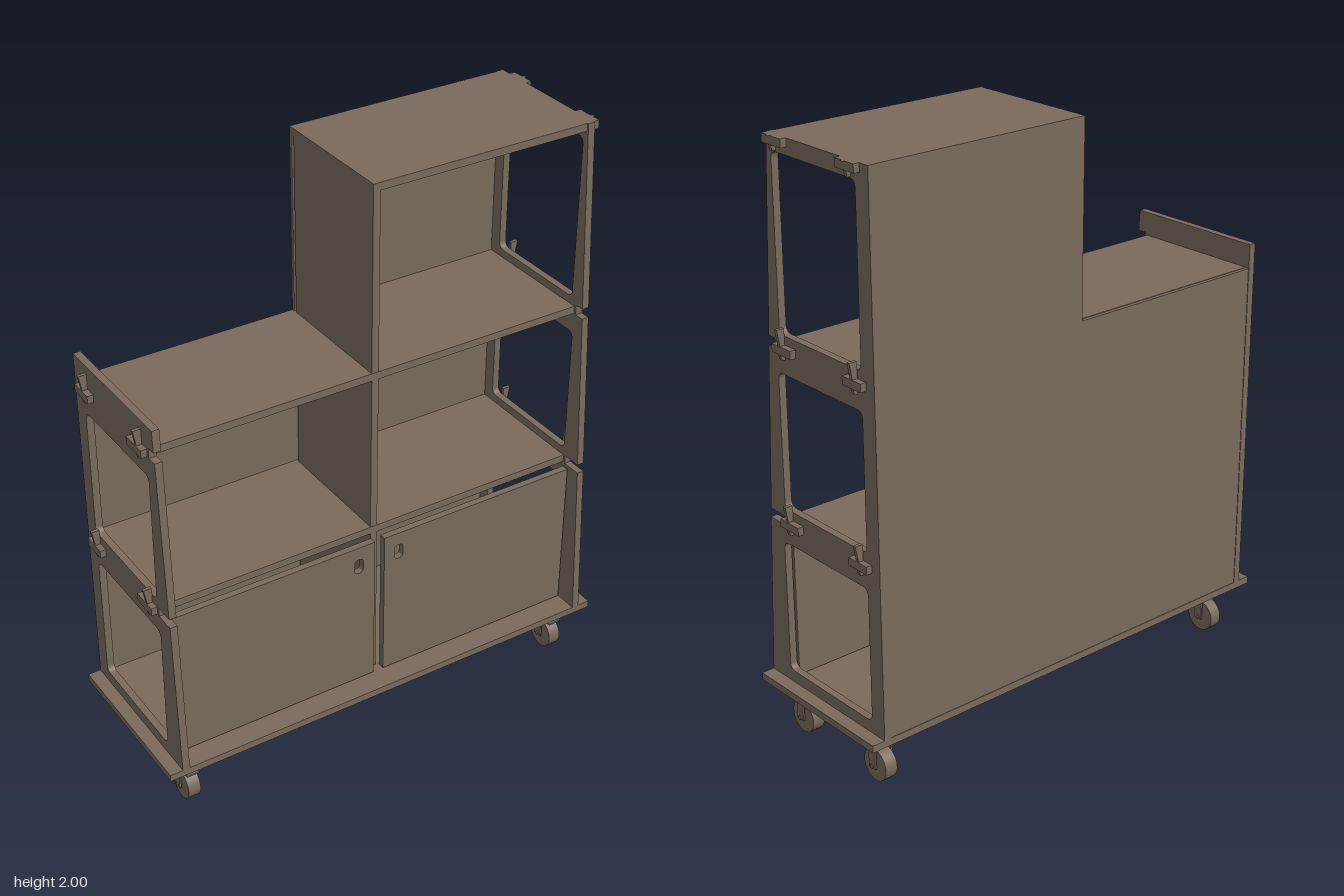
import * as THREE from 'three';

const wood = new THREE.MeshStandardMaterial({ color: 0x7a6a5c });
wood.name = 'brown';

function add(parent, name, geometry) {
  const mesh = new THREE.Mesh(geometry, wood);
  mesh.name = name;
  parent.add(mesh);
  return mesh;
}

// Box given by its limits on each axis
function box(parent, name, x0, x1, y0, y1, z0, z1) {
  const mesh = add(parent, name, new THREE.BoxGeometry(x1 - x0, y1 - y0, z1 - z0));
  mesh.position.set((x0 + x1) / 2, (y0 + y1) / 2, (z0 + z1) / 2);
  return mesh;
}

function polygon(points) {
  return new THREE.Shape(points.map(([x, y]) => new THREE.Vector2(x, y)));
}

function roundedHole(x0, x1, y0, y1, r) {
  const p = new THREE.Path();
  p.absarc(x0 + r, y0 + r, r, Math.PI, Math.PI * 1.5);
  p.absarc(x1 - r, y0 + r, r, Math.PI * 1.5, Math.PI * 2);
  p.absarc(x1 - r, y1 - r, r, 0, Math.PI / 2);
  p.absarc(x0 + r, y1 - r, r, Math.PI / 2, Math.PI);
  p.closePath();
  return p;
}

function extrude(shape, depth) {
  return new THREE.ExtrudeGeometry(shape, { depth, bevelEnabled: false, curveSegments: 6 });
}

// Sloping side frame, notched at each shelf and with a window per bay
function sideFrame(parent, name, xOuter, tall) {
  const outline = [
    [-0.29, 0.205], [0.29, 0.205], [0.26, 0.757], [0.19, 0.757], [0.19, 0.788],
    [0.257, 0.788], [0.225, 1.335], [0.19, 1.335], [0.19, 1.37], [0.222, 1.37],
  ];
  if (tall) outline.push([0.185, 2], [-0.29, 2]);
  else outline.push([0.218, 1.443], [-0.29, 1.443]);
  const shape = polygon(outline);
  shape.holes.push(roundedHole(-0.23, 0.192, 0.245, 0.697, 0.022));
  shape.holes.push(roundedHole(-0.23, 0.18, 0.815, 1.265, 0.022));
  if (tall) shape.holes.push(roundedHole(-0.23, 0.165, 1.39, 1.948, 0.022));
  const geometry = extrude(shape, 0.025);
  geometry.rotateY(-Math.PI / 2);
  add(parent, name, geometry).position.x = xOuter;
}

// Two through tabs with wedge pins at one end of a shelf
function tabs(parent, side, top) {
  const group = new THREE.Group();
  group.name = 'shelfTabs';
  const high = Math.min(top + 0.053, 2);
  for (const [z0, z1, pinZ] of [[0.087, 0.18, 0.145], [-0.252, -0.165, -0.207]]) {
    const edges = [side * 0.755, side * 0.805].sort((a, b) => a - b);
    box(group, 'tab', edges[0], edges[1], top - 0.027, top, z0, z1);
    const wedge = polygon([
      [0.786, top - 0.047], [0.797, top - 0.047], [0.803, top - 0.027],
      [0.803, top], [0.813, high], [0.786, high],
    ].map(([x, y]) => [side * x, y]));
    add(group, 'wedgePin', extrude(wedge, 0.012)).position.z = pinZ - 0.006;
  }
  parent.add(group);
}

// Door leaf with a finger slot near the middle of the cabinet
function door(parent, name, x0, x1, slotX) {
  const shape = polygon([[x0, 0.212], [x1, 0.212], [x1, 0.75], [x0, 0.75]]);
  shape.holes.push(roundedHole(slotX - 0.016, slotX + 0.016, 0.65, 0.703, 0.012));
  add(parent, name, extrude(shape, 0.024)).position.z = 0.191;
}

function caster(x, z) {
  const group = new THREE.Group();
  group.name = 'caster';
  box(group, 'mountPlate', -0.042, 0.042, 0.166, 0.18, -0.025, 0.025);
  add(group, 'swivel', new THREE.CylinderGeometry(0.025, 0.025, 0.03, 20)).position.y = 0.155;
  box(group, 'forkCrown', -0.034, 0.034, 0.134, 0.146, -0.02, 0.02);
  for (const s of [-1, 1]) {
    box(group, 'forkLeg', s * 0.031 - 0.003, s * 0.031 + 0.003, 0.048, 0.14, -0.016, 0.016);
  }
  const wheel = add(group, 'wheel', new THREE.CylinderGeometry(0.055, 0.055, 0.044, 28));
  wheel.rotation.z = Math.PI / 2;
  wheel.position.y = 0.055;
  const axle = add(group, 'axle', new THREE.CylinderGeometry(0.008, 0.008, 0.074, 12));
  axle.rotation.z = Math.PI / 2;
  axle.position.y = 0.055;
  box(group, 'brakeLever', -0.022, 0.022, 0.115, 0.122, 0.005, 0.05);
  group.position.set(x, 0, z);
  return group;
}

export function createModel() {
  const model = new THREE.Group();
  model.name = 'rollingShelf';

  // Base board on casters
  box(model, 'baseBoard', -0.83, 0.83, 0.18, 0.205, -0.29, 0.29);
  for (const x of [-0.725, 0.725]) {
    for (const z of [-0.187, 0.19]) model.add(caster(x, z));
  }

  // Upright panels
  sideFrame(model, 'leftSideFrame', 0.785, true);
  sideFrame(model, 'rightSideFrame', -0.76, false);
  box(model, 'centerPanel', -0.015, 0.01, 0.205, 1.999, -0.264, 0.18);

  // Stepped back panel
  const back = polygon([
    [-0.76, 0.205], [0.76, 0.205], [0.76, 2], [-0.015, 2], [-0.015, 1.36], [-0.76, 1.36],
  ]);
  add(model, 'backPanel', extrude(back, 0.013)).position.z = -0.288;

  // Shelves and their tabs
  for (const [x0, top] of [[-0.76, 0.786], [-0.76, 1.362], [-0.015, 2]]) {
    box(model, 'shelf', x0, 0.76, top - 0.026, top, -0.275, 0.181);
    tabs(model, 1, top);
    if (x0 < -0.5) tabs(model, -1, top);
  }

  // Doors
  door(model, 'rightDoor', -0.755, -0.02, -0.08);
  door(model, 'leftDoor', 0.017, 0.753, 0.073);

  return model;
}
